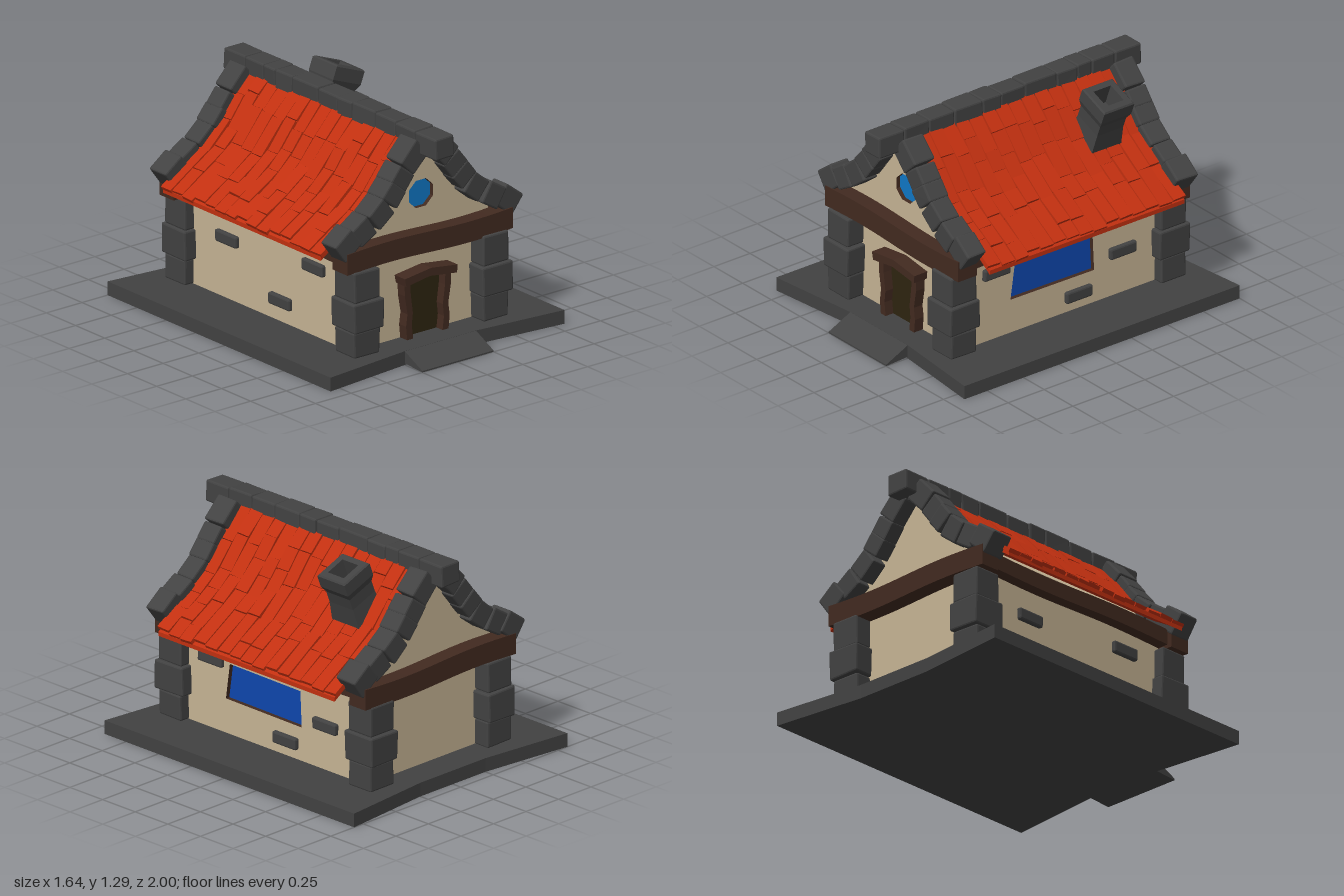
import * as THREE from 'three';
import { RoundedBoxGeometry } from 'three/addons/geometries/RoundedBoxGeometry.js';

const mat = (name, color) => {
  const m = new THREE.MeshStandardMaterial({ color, flatShading: true });
  m.name = name;
  return m;
};

export function createModel() {
  const house = new THREE.Group();
  house.name = 'cottage';
  const stoneMat = mat('stone', 0x424242);
  const plaster = mat('plaster', 0xc6b494);
  const wood = mat('wood', 0x422a20);
  const tileMat = mat('roof tile', 0xc23010);
  const doorMat = mat('dark door', 0x2e2410);
  const blue = mat('side glass', 0x0f47ad);
  const lightBlue = mat('round glass', 0x1078c6);

  let seed = 7;
  const rnd = (a = -1, b = 1) => {
    seed = (seed * 16807) % 2147483647;
    return a + (b - a) * (seed / 2147483647);
  };
  const group = (name, parent = house) => {
    const g = new THREE.Group();
    g.name = name;
    parent.add(g);
    return g;
  };
  const add = (parent, name, geo, material, x = 0, y = 0, z = 0, rz = 0) => {
    const m = new THREE.Mesh(geo, material);
    m.name = name;
    m.position.set(x, y, z);
    m.rotation.z = rz;
    parent.add(m);
    return m;
  };
  const shapeOf = pts => new THREE.Shape(pts.map(p => new THREE.Vector2(p[0], p[1])));
  const extrude = (shape, depth) => new THREE.ExtrudeGeometry(shape, { depth, bevelEnabled: false });

  // Chamfered block, slightly tapered at random
  const stone = (parent, name, w, h, d, x, y, z, rz = 0) => {
    const g = new RoundedBoxGeometry(w, h, d, 1, 0.01);
    const k = [rnd(), rnd(), rnd(), rnd()].map(v => v * 0.07);
    const p = g.attributes.position;
    for (let i = 0; i < p.count; i++) {
      const u = p.getX(i) / w, v = p.getY(i) / h, t = p.getZ(i) / d;
      p.setXYZ(i, w * u * (1 + k[0] * v + k[1] * t), h * v * (1 + k[2] * u), d * t * (1 + k[3] * v));
    }
    return add(parent, name, g, stoneMat, x, y, z, rz);
  };

  // Plank along x whose height follows a gentle wave
  const beamGeo = (len, h, d, wave) => {
    const g = new THREE.BoxGeometry(len, h, d, 14, 1, 1);
    const p = g.attributes.position;
    for (let i = 0; i < p.count; i++) p.setY(i, p.getY(i) - wave * Math.sin(p.getX(i) * 5.4));
    return g;
  };

  // Ground slab with flared corners, and the entrance ramp
  const slab = extrude(shapeOf([[-0.82, -0.91], [-0.25, -0.85], [0.25, -0.85], [0.82, -0.91],
    [0.82, 1], [0.25, 0.94], [-0.25, 0.94], [-0.82, 1]]), 0.08).rotateX(-Math.PI / 2);
  add(house, 'groundSlab', slab, stoneMat);
  const ramp = extrude(shapeOf([[-0.83, 0.01], [-0.83, 0.079], [-0.85, 0.079], [-1, 0.008], [-1, 0]]), 0.5);
  add(house, 'entranceRamp', ramp.rotateY(Math.PI / 2), stoneMat, -0.25);

  // Roof line from ridge to eave
  const roofCurve = new THREE.CatmullRomCurve3([[0.03, 1.205], [0.1, 1.14], [0.186, 1.04], [0.247, 0.96],
    [0.33, 0.875], [0.45, 0.79], [0.565, 0.725], [0.7, 0.635]].map(p => new THREE.Vector3(p[0], p[1], 0)));

  // Walls: solid core, with front and right skins holding recessed windows
  const gable = (left, right) => shapeOf([[left, 0.07], [right, 0.07], [right, 0.73], [0.33, 0.835], [0.247, 0.925],
    [0.186, 1.0], [0.1, 1.1], [0, 1.16], [-0.1, 1.1], [-0.186, 1.0], [-0.247, 0.925], [-0.33, 0.835], [left, 0.73]]);
  const walls = group('walls');
  add(walls, 'wallCore', extrude(gable(-0.48, 0.45), 1.39), plaster, 0, 0, -0.75);
  const octagon = r => Array.from({ length: 8 }, (_, i) => {
    const a = (i + 0.5) * Math.PI / 4;
    return [0.01 + r * Math.cos(a), 0.882 + r * 0.93 * Math.sin(a)];
  });
  const frontShape = gable(-0.48, 0.48);
  frontShape.holes.push(shapeOf(octagon(0.092)));
  add(walls, 'frontWall', extrude(frontShape, 0.03), [plaster, wood], 0, 0, 0.64);
  add(walls, 'roundWindow', new THREE.ShapeGeometry(shapeOf(octagon(0.094))), lightBlue, 0, 0, 0.644);

  const sideShape = shapeOf([[-0.64, 0.07], [0.75, 0.07], [0.75, 0.66], [-0.64, 0.66]]);
  const sidePane = [[-0.32, 0.28], [0.26, 0.275], [0.25, 0.485], [-0.29, 0.49]];
  sideShape.holes.push(shapeOf(sidePane));
  add(walls, 'rightWall', extrude(sideShape, 0.03).rotateY(Math.PI / 2), [plaster, wood], 0.45);
  add(walls, 'sideWindow', new THREE.ShapeGeometry(shapeOf(sidePane)).rotateY(Math.PI / 2), blue, 0.454);

  // Loose bricks showing through the plaster: side, height, z
  [[1, 0.49, 0.425], [1, 0.34, -0.45], [1, 0.17, -0.145], [-1, 0.43, -0.38], [-1, 0.2, 0.075], [-1, 0.48, 0.36]]
    .forEach(([s, y, z]) => stone(walls, 'wallBrick', 0.05, 0.068, 0.18, s * 0.48, y, z));

  // Corner pillars of three stacked stones
  const pillars = group('cornerPillars');
  for (const s of [-1, 1]) for (const z of [0.69, -0.765]) {
    [[0.18, 0.15, 0.17], [0.205, 0.17, 0.21], [0.18, 0.175, 0.175]].reduce((y, [w, h, d]) => {
      stone(pillars, 'pillarStone', w, h, d, s * 0.452, y + h / 2, z);
      return y + h;
    }, 0.078);
  }

  // Timber beams round the top of the walls
  const beams = group('beams');
  add(beams, 'frontBeam', beamGeo(1.16, 0.12, 0.13, 0.01), wood, 0, 0.63, 0.697);
  add(beams, 'backBeam', beamGeo(1.16, 0.12, 0.12, 0.01), wood, 0, 0.63, -0.787);
  for (const s of [-1, 1])
    add(beams, 'sideBeam', beamGeo(1.4, 0.09, 0.11, 0.006).rotateY(Math.PI / 2), wood, s * 0.495, 0.64, -0.04);

  // Door with bowed posts and a peaked lintel
  const door = group('door');
  add(door, 'doorPanel', new THREE.BoxGeometry(0.25, 0.34, 0.008), doorMat, 0.015, 0.25, 0.673);
  const post = extrude(shapeOf([[0.098, 0.08], [0.14, 0.08], [0.148, 0.16], [0.138, 0.23], [0.157, 0.34], [0.158, 0.42],
    [0.118, 0.42], [0.115, 0.34], [0.1, 0.23], [0.108, 0.16]]), 0.07);
  add(door, 'leftPost', post, wood, 0.015, 0, 0.66);
  add(door, 'rightPost', post.clone().rotateY(Math.PI), wood, 0.005, 0, 0.73);
  add(door, 'lintel', extrude(shapeOf([[-0.165, 0.405], [0, 0.43], [0.19, 0.405], [0.195, 0.45], [0.01, 0.475],
    [-0.175, 0.452]]), 0.1), wood, 0, 0, 0.66);

  // Roof: a curved sheet under uneven rows of tiles
  const roof = group('roof');
  for (const s of [-1, 1]) {
    const end = s > 0 ? 0.985 : 0.945;
    const line = Array.from({ length: 15 }, (_, i) => roofCurve.getPointAt(end * i / 14));
    const band = [...line.map(p => [s * p.x, p.y]), ...line.reverse().map(p => [s * p.x, p.y - 0.025])];
    add(roof, 'roofSheet', extrude(shapeOf(band), 1.35), tileMat, 0, 0, -0.72);
    const cols = 15, step = 1.37 / cols;
    for (let c = 0; c < cols; c++) {
      const last = end + rnd(-0.015, 0.015);
      let t = 0;
      while (t < last - 0.01) {
        let t1 = t + rnd(0.13, 0.27);
        if (t1 > last - 0.09) t1 = last;
        const a = roofCurve.getPointAt(t), b = roofCurve.getPointAt(t1);
        const tile = add(roof, 'roofTile',
          new THREE.BoxGeometry(a.distanceTo(b) - 0.004, 0.024, step - 0.006 + rnd(-0.004, 0.004)), tileMat,
          s * (a.x + b.x) / 2, (a.y + b.y) / 2 + 0.01 + rnd(-0.004, 0.004), -0.73 + (c + 0.5) * step,
          s * (Math.atan2(b.y - a.y, b.x - a.x) + rnd(-0.02, 0.02)));
        tile.rotation.x = rnd(-0.05, 0.05);
        t = t1;
      }
    }
  }

  // Stones along both gable edges: x, y, length, slope
  const rakes = group('gableStones');
  const rake = [[0.565, 0.737, 0.145, 0.66], [0.452, 0.79, 0.125, 0.55], [0.335, 0.865, 0.135, 0.68],
    [0.248, 0.957, 0.11, 0.88], [0.187, 1.037, 0.11, 0.9], [0.103, 1.142, 0.155, 0.8]];
  for (const z of [0.692, -0.77]) for (const s of [-1, 1])
    for (const [x, y, len, a] of rake)
      stone(rakes, 'gableStone', len, 0.132, 0.135 + rnd(-0.01, 0.01), s * x, y, z, -s * a);

  // Ridge stones
  const ridge = group('ridgeStones');
  const cuts = [0.895, 0.72, 0.545, 0.37, 0.175, 0.05, -0.12, -0.34, -0.48, -0.58, -0.74, -0.92];
  for (let i = 0; i < cuts.length - 1; i++)
    stone(ridge, 'ridgeStone', 0.13 + rnd(-0.008, 0.008), 0.125, cuts[i] - cuts[i + 1], -0.005,
      1.218 + rnd(-0.006, 0.006), (cuts[i] + cuts[i + 1]) / 2, rnd(-0.04, 0.04));

  // Leaning hollow chimney: square lathe, outside then inside
  const profile = [[0, 0], [0.11, 0], [0.09, 0.2], [0.09, 0.27], [0.104, 0.31], [0.104, 0.385], [0.096, 0.393],
    [0.06, 0.393], [0.055, 0.27], [0, 0.27]];
  const flue = new THREE.LatheGeometry(profile.map(p => new THREE.Vector2(p[0] * Math.SQRT2, p[1])), 4);
  add(house, 'chimney', flue.rotateY(Math.PI / 4), stoneMat, 0.217, 0.86, -0.457, -0.37);

  return house;
}
